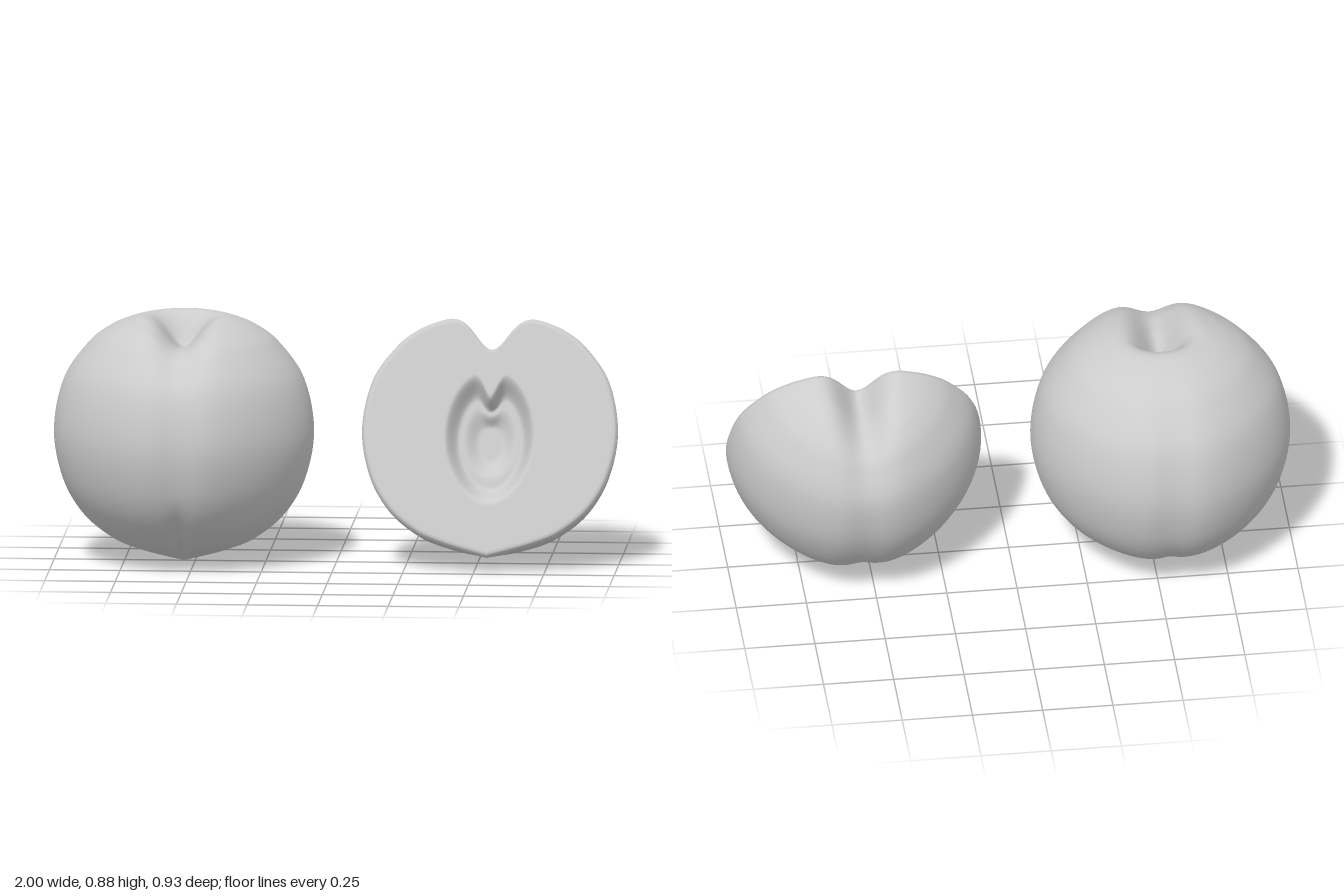
import * as THREE from 'three';
import { mergeVertices } from 'three/addons/utils/BufferGeometryUtils.js';

const material = new THREE.MeshStandardMaterial({ color: 0xcccccc, roughness: 0.7 });
const smooth = THREE.MathUtils.smoothstep;
const gauss = (v, width) => Math.exp(-((v / width) ** 2));

// Outer profile (radius, height) from the pointed tip to the crown
const profile = new THREE.SplineCurve([
  [0, 0], [0.08, 0.022], [0.17, 0.05], [0.26, 0.09], [0.36, 0.175], [0.43, 0.3], [0.46, 0.47],
  [0.425, 0.65], [0.34, 0.775], [0.265, 0.835], [0.19, 0.868], [0.12, 0.885], [0, 0.89],
].map(([r, y]) => new THREE.Vector2(r, y)));

// Fruit skin: turned profile with a stem hollow and a suture groove running down the front and back
function skinPoint(t, angle) {
  const p = profile.getPoint(t);
  const r = p.x * (1 - 0.035 * Math.sin(2 * angle) ** 2);
  const x = r * Math.cos(angle);
  let z = r * Math.sin(angle);
  let y = p.y;
  const front = z > 0;
  // stem hollow: steep at the back, drawn out into the groove at the front
  y -= 0.125 * gauss(x, 0.078) * gauss(z, front ? 0.31 : 0.068) * smooth(p.y, 0.5, 0.78);
  // groove on the sides and a tighter crease beside the tip
  y += (front ? 0.022 : 0.008) * gauss(x, 0.03) * smooth(Math.abs(z), 0, 0.12) * (1 - smooth(p.y, 0.1, 0.3));
  z *= 1.04 - 0.045 * gauss(x, 0.075);
  return [x, y, z];
}

// Smooth surface through a grid of points
function gridGeometry(nu, nv, point) {
  const positions = [];
  const index = [];
  for (let i = 0; i <= nu; i++) {
    for (let j = 0; j <= nv; j++) {
      positions.push(...point(i / nu, j / nv));
      if (i === nu || j === nv) continue;
      const a = i * (nv + 1) + j;
      const b = a + nv + 1;
      index.push(a, b, a + 1, b, b + 1, a + 1);
    }
  }
  let geometry = new THREE.BufferGeometry();
  geometry.setAttribute('position', new THREE.Float32BufferAttribute(positions, 3));
  geometry.setIndex(index);
  geometry = mergeVertices(geometry, 1e-5);
  geometry.computeVertexNormals();
  return geometry;
}

function addMesh(parent, name, geometry) {
  const mesh = new THREE.Mesh(geometry, material);
  mesh.name = name;
  parent.add(mesh);
}

// Depth of the heart-topped hollow left by the stone
function stoneHollow(x, y) {
  const dy = (y - 0.44) / 0.245;
  const notch = 0.38 * gauss(x, 0.032) * smooth(dy, 0.1, 0.6);
  const taper = dy < 0 ? 1 - 0.12 * dy * dy : 1;
  const q = Math.hypot(x / (0.16 * taper), dy) + notch;
  return 0.065 * (1 - smooth(q, 0.7, 1.02)) + 0.03 * (1 - smooth(q, 0.25, 0.6));
}

const BEVEL = 0.018;

// Cut face: the outline filled towards the centre, with a rounded rim and the stone hollow
function cutFacePoint(u, v) {
  const right = u < 0.5;
  const [ox, oy] = skinPoint(right ? 2 * u : 2 - 2 * u, right ? 0 : Math.PI);
  const x = ox * v;
  const y = 0.45 + (oy - 0.45) * v;
  const s = Math.max(0, (v - 0.955) / 0.045);
  return [x, y, BEVEL * (1 - Math.sqrt(Math.max(0, 1 - s * s))) + stoneHollow(x, y)];
}

export function createModel() {
  const model = new THREE.Group();
  model.name = 'fruitPair';

  const whole = new THREE.Group();
  whole.name = 'wholeFruit';
  whole.position.x = -0.54;
  addMesh(whole, 'wholeSkin', gridGeometry(110, 200, (u, v) => skinPoint(u, v * Math.PI * 2)));
  model.add(whole);

  // Halved fruit leaning back, grooved side behind
  const half = new THREE.Group();
  half.name = 'halfFruit';
  addMesh(half, 'halfSkin', gridGeometry(110, 110, (u, v) => {
    const [x, y, z] = skinPoint(u, v * Math.PI);
    return [x, y, BEVEL + z * 0.96];
  }));
  addMesh(half, 'cutFace', gridGeometry(200, 90, cutFacePoint));
  half.rotation.set(-0.371, Math.PI, 0);
  half.position.set(0.547, 0.06, 0.235);
  half.scale.setScalar(0.985);
  model.add(half);

  return model;
}
